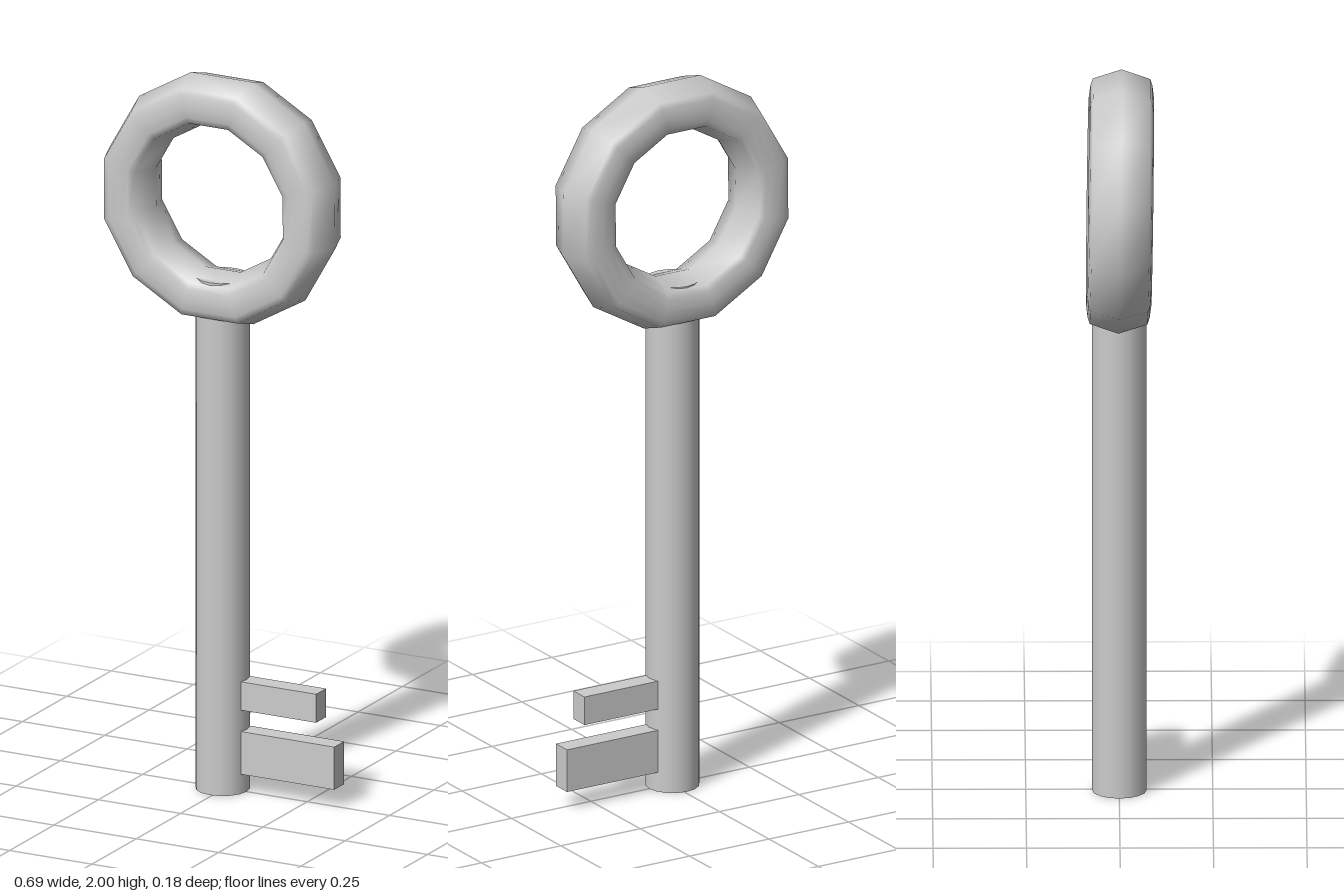
import * as THREE from 'three';
import { toCreasedNormals } from 'three/addons/utils/BufferGeometryUtils.js';

export function createModel() {
  const group = new THREE.Group();
  const material = new THREE.MeshStandardMaterial({ color: 0xcccccc });
  const axisX = -0.007;

  const add = (name, geometry, x, y, z) => {
    const mesh = new THREE.Mesh(geometry, material);
    mesh.name = name;
    mesh.position.set(x, y, z);
    group.add(mesh);
    return mesh;
  };

  // Twelve-sided ring with a boxy rounded section, mirrored top to bottom and in to out
  const ringRadius = 0.281;
  const quarter = [[0.073, 0], [0.048, 0.077], [0.03, 0.083], [0, 0.087]];
  const outerTop = quarter;
  const innerTop = quarter.slice(0, 3).reverse().map(([r, h]) => [-r, h]);
  const half = [...outerTop, ...innerTop];
  const bottom = half.slice(0, -1).reverse().map(([r, h]) => [r, -h]);
  const section = [half[half.length - 1], ...bottom, ...half.slice(1)]
    .map(([r, h]) => new THREE.Vector2(ringRadius + r, h));
  const ringGeometry = new THREE.LatheGeometry(section, 12, Math.PI / 12);
  ringGeometry.rotateX(Math.PI / 2);
  const ring = add('ringHandle', toCreasedNormals(ringGeometry, Math.PI * 0.6), axisX, 1.658, 0.002);
  ring.rotation.x = 0.014;

  // Round shaft, its top buried in the ring
  add('shaft', new THREE.CylinderGeometry(0.073, 0.073, 1.44, 16), axisX, 0.72, 0);

  // Two flat bits on the left side of the shaft
  const bits = [
    ['upperBit', 0.29, 0.235, 0.315],
    ['lowerBit', 0.345, 0.055, 0.175],
  ];
  for (const [name, end, low, high] of bits) {
    add(name, new THREE.BoxGeometry(end, high - low, 0.056), end / 2, (low + high) / 2, -0.004);
  }

  return group;
}
